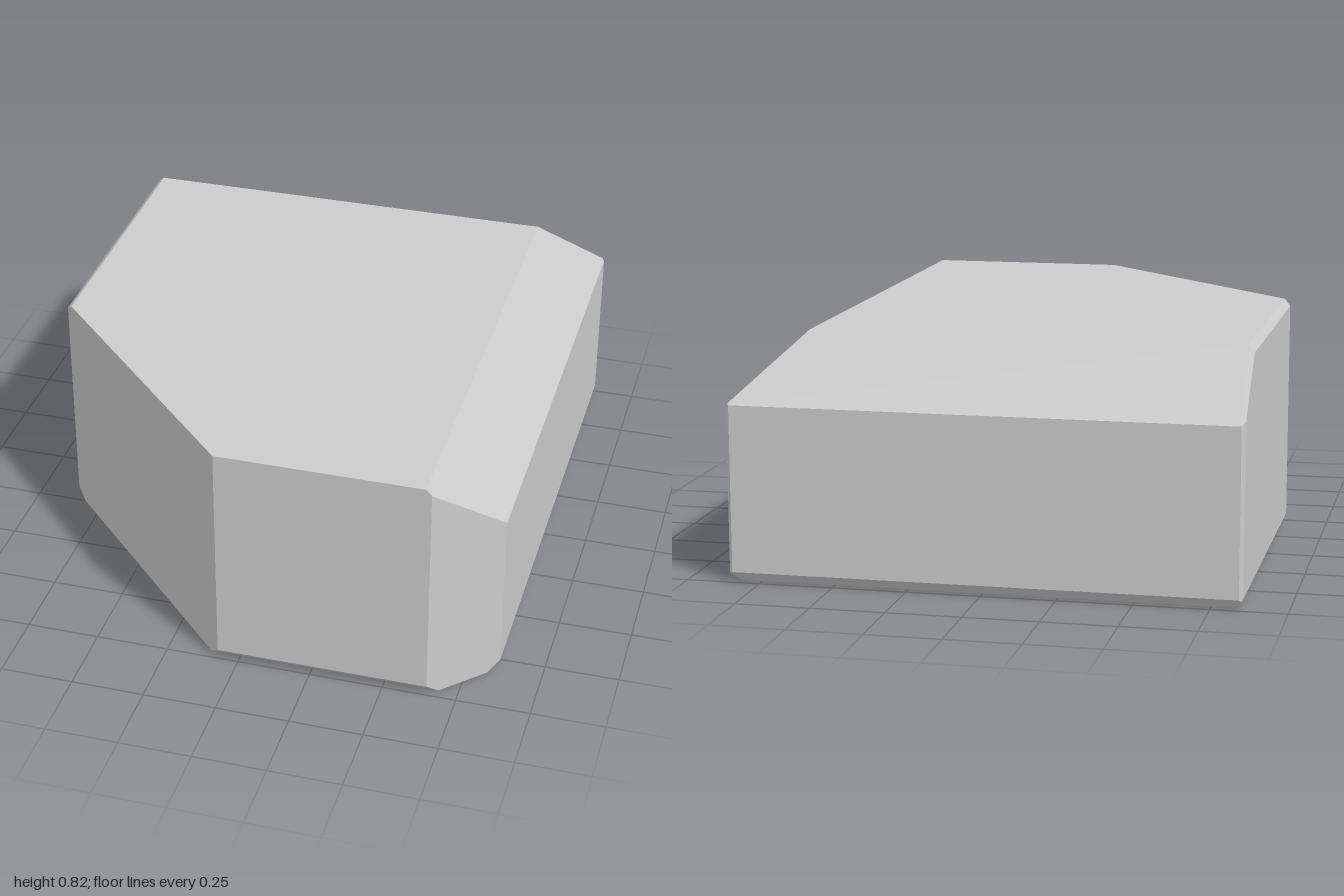
import * as THREE from 'three';
import { ConvexGeometry } from 'three/addons/geometries/ConvexGeometry.js';

// Each cut keeps the points where x*nx + y*ny + z*nz <= d
const cuts = [
  // outer box
  [1, 0, 0, 0.855], [-1, 0, 0, 0.855],
  [0, 1, 0, 0.82], [0, -1, 0, 0],
  [0, 0, 1, 1], [0, 0, -1, 1],
  // wide top bevels along the left side and back, narrow one on the right side
  [1, 1, 0, 1.45], [0, 1, -1, 1.597], [-1, 1, 0, 1.653],
  // narrow bevels around the base
  [1, -1, 0, 0.82], [-1, -1, 0, 0.82], [0, -1, 1, 0.965], [0, -1, -1, 0.965],
  // front corner cuts and the thin back corner edges
  [1, 0, 1, 1.65], [-1, 0, 1, 1.07],
  [1, 0, -1, 1.843], [-1, 0, -1, 1.843],
];

// Corners of the solid: where three cut planes meet inside all the others
function cornersOf(planes) {
  const corners = [];
  const m = new THREE.Matrix3();
  for (let i = 0; i < planes.length; i++)
    for (let j = i + 1; j < planes.length; j++)
      for (let k = j + 1; k < planes.length; k++) {
        const [a, b, c] = [planes[i], planes[j], planes[k]];
        m.set(a[0], a[1], a[2], b[0], b[1], b[2], c[0], c[1], c[2]);
        if (Math.abs(m.determinant()) < 1e-6) continue;
        const p = new THREE.Vector3(a[3], b[3], c[3]).applyMatrix3(m.invert());
        const inside = planes.every(([x, y, z, d]) => p.x * x + p.y * y + p.z * z <= d + 1e-6);
        if (inside && !corners.some((q) => q.distanceTo(p) < 1e-4)) corners.push(p);
      }
  return corners;
}

export function createModel() {
  const group = new THREE.Group();
  group.name = 'bevelledBlock';
  const material = new THREE.MeshStandardMaterial({ color: 0xcccccc, flatShading: true });
  const block = new THREE.Mesh(new ConvexGeometry(cornersOf(cuts)), material);
  block.name = 'block';
  group.add(block);
  return group;
}
